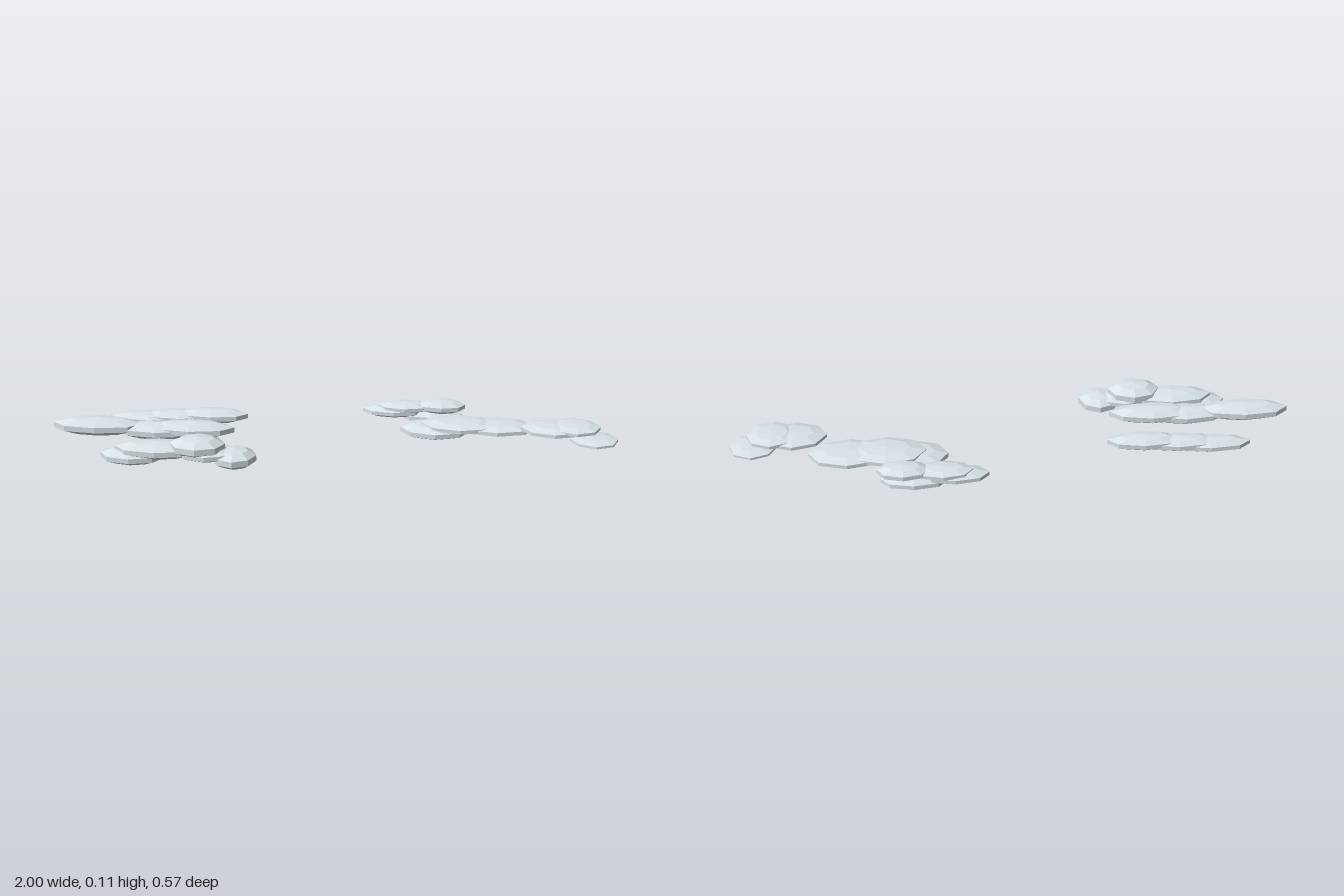
import * as THREE from 'three';

// Each puff: [x, y, halfLength, halfHeight]; z and halfDepth are shared by a cloud
const CLOUDS = [
  { name: 'backRightCloud', z: -0.095, depth: 0.045, puffs: [
    [-0.69, 0.05, 0.145, 0.025], [-0.58, 0.058, 0.14, 0.026], [-0.46, 0.066, 0.13, 0.027]] },
  { name: 'middleRightCloud', z: 0.065, depth: 0.052, puffs: [
    [-0.84, 0.08, 0.16, 0.032], [-0.63, 0.068, 0.14, 0.03], [-0.51, 0.075, 0.155, 0.03]] },
  { name: 'frontRightCloud', z: 0.205, depth: 0.06, puffs: [
    [-0.69, 0.03, 0.11, 0.028], [-0.6, 0.055, 0.15, 0.03],
    [-0.46, 0.075, 0.095, 0.035, 0.217, 0.068], [-0.335, 0.036, 0.075, 0.034, 0.217, 0.07],
    [-0.43, 0.05, 0.1, 0.025, 0.215, 0.065]] },
  { name: 'backLeftCloud', z: -0.236, depth: 0.049, puffs: [
    [0.2, 0.048, 0.115, 0.022], [0.24, 0.064, 0.1, 0.02],
    [0.34, 0.03, 0.115, 0.025], [0.375, 0.068, 0.09, 0.025]] },
  { name: 'middleLeftCloud', z: -0.098, depth: 0.08, puffs: [
    [0.35, 0.03, 0.125, 0.027], [0.44, 0.05, 0.14, 0.022], [0.57, 0.045, 0.14, 0.022]] },
  { name: 'outerLeftCloud', z: -0.022, depth: 0.078, puffs: [
    [0.765, 0.072, 0.115, 0.02], [0.84, 0.079, 0.09, 0.017], [0.91, 0.034, 0.085, 0.013]] },
];

export function createModel() {
  const model = new THREE.Group();
  model.name = 'clouds';
  const cloudGrey = new THREE.MeshStandardMaterial({ color: 0xd9e3e7, flatShading: true });
  cloudGrey.name = 'cloudGrey';
  const puffShape = new THREE.SphereGeometry(1, 8, 5);
  const ring = Math.sin(Math.PI * 0.4); // radius of the widest ring of the puff

  for (const { name, z, depth, puffs } of CLOUDS) {
    const cloud = new THREE.Group();
    cloud.name = name;
    // Overlapping flattened puffs make up a cloud
    puffs.forEach(([x, y, length, height, pz = z, pd = depth], i) => {
      const puff = new THREE.Mesh(puffShape, cloudGrey);
      puff.name = `puff${i + 1}`;
      puff.position.set(x, y, pz);
      puff.scale.set(length / ring, height, pd / ring);
      cloud.add(puff);
    });
    model.add(cloud);
  }
  return model;
}
